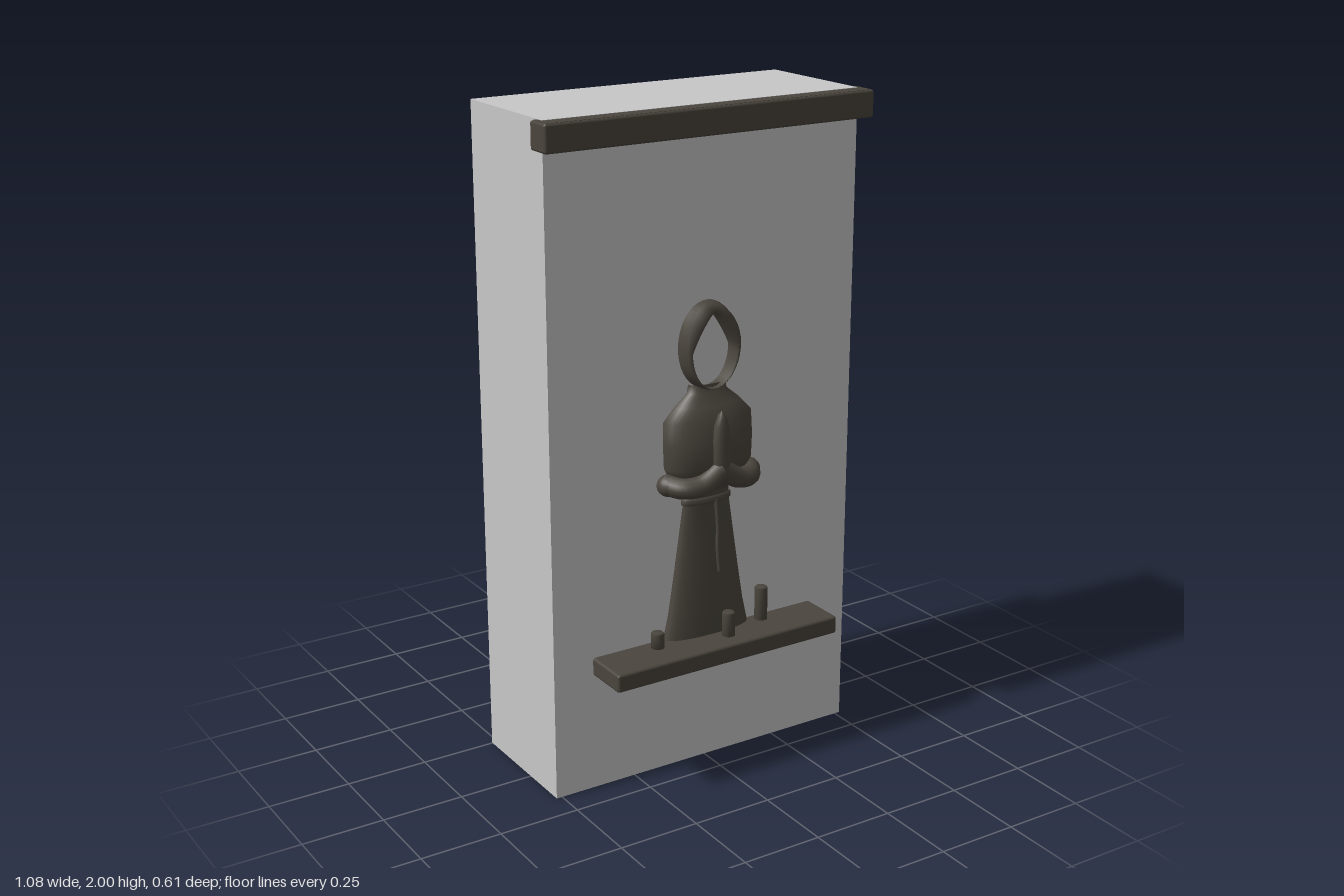
import * as THREE from 'three';
import { RoundedBoxGeometry } from 'three/addons/geometries/RoundedBoxGeometry.js';

// Skin a grid of points: rows of equal length, each row a closed ring
function skin(rows) {
  const n = rows[0].length, pos = [], idx = [];
  rows.forEach(r => r.forEach(p => pos.push(...p)));
  for (let i = 0; i < rows.length - 1; i++) {
    for (let j = 0; j < n; j++) {
      const a = i * n + j, b = i * n + (j + 1) % n;
      idx.push(a, a + n, b, b, a + n, b + n);
    }
  }
  const g = new THREE.BufferGeometry();
  g.setAttribute('position', new THREE.Float32BufferAttribute(pos, 3));
  g.setIndex(idx);
  g.computeVertexNormals();
  return g;
}

// Stack of oval rings, each given as [y, half width, half depth]
function ovalStack(sections, zc, n = 32) {
  return skin(sections.map(([y, rx, rz]) => Array.from({ length: n }, (_, j) => {
    const a = j / n * Math.PI * 2, s = Math.sin(a), c = Math.cos(a);
    const soft = v => Math.sign(v) * Math.abs(v) ** 0.85;
    return [rx * soft(c), y, zc + rz * soft(s)];
  })));
}

export function createModel() {
  const group = new THREE.Group();
  const stone = new THREE.MeshStandardMaterial({ color: 0xc8c8c8 });
  stone.name = 'pale stone';
  const bronze = new THREE.MeshStandardMaterial({ color: 0x4a453d, side: THREE.DoubleSide });
  bronze.name = 'dark bronze';

  const add = (name, geo, mat, x = 0, y = 0, z = 0, parent = group) => {
    const m = new THREE.Mesh(geo, mat);
    m.name = name;
    m.position.set(x, y, z);
    parent.add(m);
    return m;
  };

  // Slab, back panel, cornice and shelf
  add('slab', new THREE.BoxGeometry(1.036, 2, 0.412), stone, 0, 1, -0.046);
  add('backPanel', new THREE.BoxGeometry(0.668, 1.22, 0.056), bronze, 0, 1, -0.278);
  add('cornice', new THREE.BoxGeometry(1.064, 0.08, 0.07), bronze, 0, 1.959, 0.171);
  add('corniceEdge', new RoundedBoxGeometry(1.08, 0.081, 0.082, 1, 0.008), bronze, 0, 1.9585, 0.171);
  add('shelf', new RoundedBoxGeometry(0.776, 0.056, 0.22, 1, 0.008), bronze, 0, 0.393, 0.193);

  // Candles
  for (const [x, z, h] of [[-0.19, 0.197, 0.05], [0.035, 0.235, 0.077], [0.185, 0.188, 0.107]]) {
    const profile = [[0, 0], [0.02, 0], [0.02, h - 0.005], [0.016, h], [0, h]]
      .map(p => new THREE.Vector2(...p));
    add('candle', new THREE.LatheGeometry(profile, 16), bronze, x, 0.42, z);
  }

  // Praying figure standing against the slab
  const figure = new THREE.Group();
  figure.name = 'figure';
  group.add(figure);
  const zc = 0.16;
  add('robe', ovalStack([
    [0.42, 0.148, 0.045], [0.5, 0.13, 0.042], [0.6, 0.114, 0.036], [0.72, 0.096, 0.03],
    [0.83, 0.08, 0.024], [0.9, 0.078, 0.03],
  ], zc), bronze, 0, 0, 0, figure);
  add('belt', ovalStack([[0.832, 0.08, 0.026], [0.836, 0.085, 0.031], [0.85, 0.085, 0.031], [0.854, 0.08, 0.026]], zc),
    bronze, 0, 0, 0, figure);
  add('torso', ovalStack([
    [0.87, 0.075, 0.03], [0.93, 0.13, 0.065], [0.96, 0.144, 0.085], [1.03, 0.147, 0.085],
    [1.1, 0.146, 0.072], [1.14, 0.108, 0.052], [1.175, 0.066, 0.032], [1.2, 0.062, 0.03], [1.23, 0.068, 0.026],
  ].slice(0, 8), zc), bronze, 0, 0, 0, figure);

  // Hood: a ring rolled around an open, pointed face
  const ring = f => Array.from({ length: 40 }, (_, j) => f(j / 40 * Math.PI * 2));
  const oval = (rx, ry, z) => ring(a => [
    rx * Math.sin(a), 1.312 + ry * Math.cos(a), z - 0.02 * Math.max(0, Math.cos(a)) ** 2]);
  const face = z => ring(a => {
    const c = Math.cos(a);
    return [0.076 * Math.sin(a) * (1 - 0.55 * Math.max(0, c)), 1.302 + 0.112 * c, z];
  });
  add('hood', skin([oval(0.096, 0.131, 0.14), oval(0.096, 0.131, 0.18), oval(0.09, 0.124, 0.205),
    face(0.208), face(0.14)]), bronze, 0, 0, 0, figure);

  // Sleeves folded in to the joined hands
  for (const s of [-1, 1]) {
    const path = new THREE.CatmullRomCurve3([
      [0.145, 0.915, 0.17], [0.115, 0.91, 0.22], [0.06, 0.918, 0.24], [0, 0.957, 0.243],
    ].map(([x, y, z]) => new THREE.Vector3(s * x, y, z)));
    add('sleeve', new THREE.TubeGeometry(path, 16, 0.031, 12), bronze, 0, 0, 0, figure);
    const elbow = add('elbow', new THREE.SphereGeometry(0.034, 16, 12), bronze, s * 0.14, 0.912, 0.178, figure);
    elbow.scale.set(1.0, 0.95, 1.1);
  }
  add('hands', ovalStack([
    [0.95, 0.022, 0.022], [0.98, 0.029, 0.024], [1.04, 0.029, 0.022], [1.09, 0.022, 0.018],
    [1.12, 0.011, 0.012], [1.132, 0.001, 0.001],
  ], 0.243, 16), bronze, 0, 0, 0, figure);

  // Hanging cord
  const cord = new THREE.CatmullRomCurve3([
    [0.02, 0.845, 0.187], [0.026, 0.76, 0.187], [0.023, 0.69, 0.192], [0.028, 0.615, 0.194],
  ].map(p => new THREE.Vector3(...p)));
  add('cord', new THREE.TubeGeometry(cord, 16, 0.007, 8), bronze, 0, 0, 0, figure);

  return group;
}
